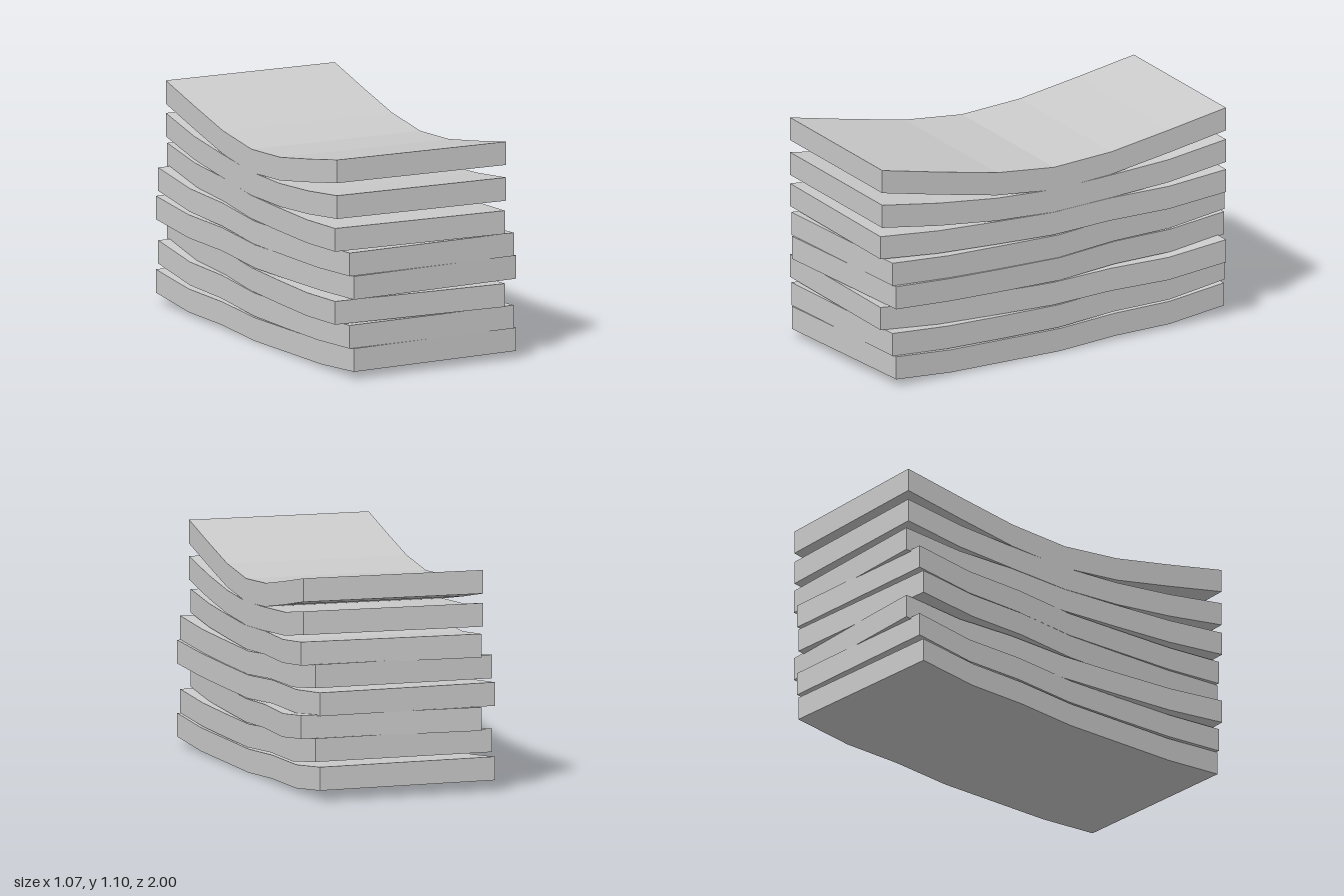
import * as THREE from 'three';

const WIDTH = 0.92, LENGTH = 1.934, THICK = 0.117, SEGMENTS = 6;

// Each slab, bottom to top: yaw angle, then underside heights from front to back
const SLABS = [
  { yaw: 0.0765, sag: [0.04, 0.015, 0.009, 0.003, 0.02, 0.02, 0.055] },
  { yaw: 0.057, sag: [0.157, 0.136, 0.13, 0.127, 0.15, 0.152, 0.197] },
  { yaw: -0.01, sag: [0.278, 0.255, 0.25, 0.248, 0.268, 0.271, 0.31] },
  { yaw: 0.0765, sag: [0.403, 0.385, 0.376, 0.37, 0.393, 0.393, 0.424] },
  { yaw: 0.057, sag: [0.521, 0.5, 0.494, 0.489, 0.515, 0.521, 0.563] },
  { yaw: -0.01, sag: [0.645, 0.622, 0.615, 0.611, 0.633, 0.639, 0.674] },
  { yaw: 0, sag: [0.81, 0.767, 0.738, 0.729, 0.75, 0.775, 0.826] },
  { yaw: 0, sag: [0.99, 0.928, 0.87, 0.844, 0.87, 0.928, 0.99] },
];

// A box split along its length, with every cross-section raised to its sag height
function bentSlab(sag) {
  const geometry = new THREE.BoxGeometry(WIDTH, THICK, LENGTH, 1, 1, SEGMENTS);
  const pos = geometry.attributes.position;
  for (let i = 0; i < pos.count; i++) {
    const station = Math.round((0.5 - pos.getZ(i) / LENGTH) * SEGMENTS);
    pos.setY(i, pos.getY(i) + THICK / 2 + sag[station]);
  }
  geometry.computeVertexNormals();
  return geometry;
}

export function createModel() {
  const group = new THREE.Group();
  group.name = 'slabStack';
  const material = new THREE.MeshStandardMaterial({ color: 0xcccccc, flatShading: true });

  SLABS.forEach(({ yaw, sag }, i) => {
    const slab = new THREE.Mesh(bentSlab(sag), material);
    slab.name = `slab${i + 1}`;
    slab.rotation.y = yaw;
    group.add(slab);
  });
  return group;
}
